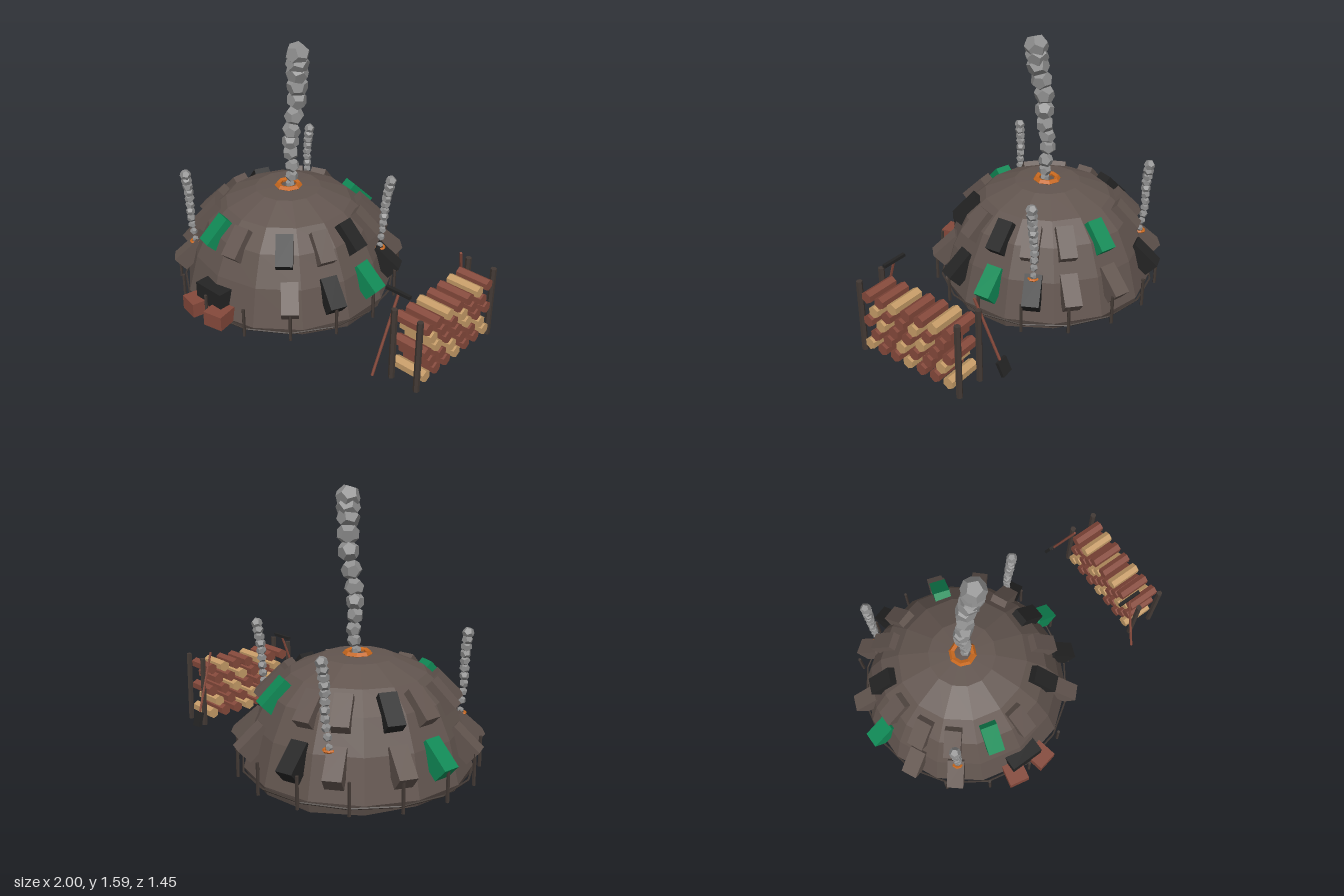
import * as THREE from 'three';

const mat = (name, color, extra = {}) => {
  const m = new THREE.MeshStandardMaterial({ color, flatShading: true, ...extra });
  m.name = name;
  return m;
};
const soil = mat('soil', 0x62554f);
const darkWood = mat('dark wood', 0x423934);
const black = mat('charred black', 0x242424);
const green = mat('turf green', 0x108a56);
const red = mat('red wood', 0x85493b);
const tan = mat('tan wood', 0xc59b67);
const grey = mat('smoke grey', 0x8e8e8e);
const orange = mat('ember orange', 0xc9691f);

const CX = -0.29, CZ = -0.03; // centre of the mound
const rad = THREE.MathUtils.degToRad;

function add(parent, name, geometry, material, x = 0, y = 0, z = 0) {
  const mesh = new THREE.Mesh(geometry, material);
  mesh.name = name;
  mesh.position.set(x, y, z);
  parent.add(mesh);
  return mesh;
}

// Point on the mound at an angle (degrees from the front, towards +x)
function around(deg, r, y) {
  return new THREE.Vector3(CX + Math.sin(rad(deg)) * r, y, CZ + Math.cos(rad(deg)) * r);
}

// Rod between two points
function rod(parent, name, a, b, r, material) {
  const mesh = add(parent, name, new THREE.CylinderGeometry(r, r, a.distanceTo(b), 6), material);
  mesh.position.lerpVectors(a, b, 0.5);
  mesh.quaternion.setFromUnitVectors(new THREE.Vector3(0, 1, 0), b.clone().sub(a).normalize());
  return mesh;
}

function buildMound(group) {
  const profile = [[0, 0.018], [0.63, 0.018], [0.65, 0.07], [0.59, 0.3], [0.505, 0.48],
    [0.385, 0.59], [0.2, 0.67], [0, 0.68]].map(p => new THREE.Vector2(...p));
  const geo = new THREE.LatheGeometry(profile, 14);
  const pos = geo.attributes.position;
  // uneven bottom rim
  for (let i = 0; i < pos.count; i++) {
    const x = pos.getX(i), z = pos.getZ(i), y = pos.getY(i);
    if (y < 0.05 && Math.hypot(x, z) > 0.1) pos.setY(i, y + 0.016 * Math.sin(3 * Math.atan2(x, z)));
  }
  add(group, 'mound', geo, soil, CX, 0, CZ);

  const rope = add(group, 'ropeRing', new THREE.TorusGeometry(0.66, 0.006, 5, 16), darkWood, CX, 0.06, CZ);
  rope.rotation.x = Math.PI / 2;
  for (let i = 0; i < 16; i++) {
    const p = around(i * 22.5, 0.69, 0.125);
    add(group, 'stake', new THREE.CylinderGeometry(0.01, 0.01, 0.18, 5), darkWood, p.x, p.y, p.z);
  }
}

// Tilted sods laid on the slope in two rings
function buildSods(group) {
  const upper = [[345, green], [8, soil], [42, black], [68, soil], [92, black], [114, soil], [137, soil],
    [162, green], [198, soil], [219, soil], [248, black], [270, soil], [295, soil], [318, soil]];
  const lower = [[45, soil], [68, black], [93, green], [117, black], [137, soil], [162, soil],
    [197, black], [218, soil], [249, soil], [270, green], [296, soil], [320, soil]];
  const ring = (list, name, r, y, thick, tilt) => {
    for (const [deg, material] of list) {
      const p = around(deg, r, y);
      const sod = add(group, name, new THREE.BoxGeometry(0.1, thick, 0.19), material, p.x, p.y, p.z);
      sod.rotation.set(rad(tilt), rad(deg), 0, 'YXZ');
    }
  };
  ring(upper, 'upperSod', 0.485, 0.495, 0.08, 45);
  ring(lower, 'lowerSod', 0.61, 0.25, 0.1, 42);
}

// Faceted puffs along a path, with an ember ring at the foot
function smoke(group, name, points, count, r0, r1, emberR) {
  const column = new THREE.Group();
  column.name = name;
  group.add(column);
  const curve = new THREE.CatmullRomCurve3(points.map(p => new THREE.Vector3(...p)));
  for (let i = 0; i < count; i++) {
    const t = i / (count - 1);
    const p = curve.getPoint(Math.pow(t, 0.92));
    const r = r0 + (r1 - r0) * Math.pow(t, 0.6);
    const puff = add(column, 'smokePuff', new THREE.DodecahedronGeometry(r), grey, p.x, p.y, p.z);
    puff.rotation.set(i * 1.3, i * 2.1, i * 0.7);
  }
  const [x, y, z] = points[0];
  const ember = add(column, 'emberRing', new THREE.TorusGeometry(emberR, emberR * 0.3, 5, 8), orange, x, y - 0.015, z);
  ember.rotation.x = Math.PI / 2;
  return ember;
}

function buildSmoke(group) {
  const main = smoke(group, 'mainSmoke', [[-0.27, 0.69, -0.025], [-0.255, 0.78, -0.035], [-0.275, 0.92, -0.04],
    [-0.25, 1.06, -0.03], [-0.22, 1.25, -0.045], [-0.19, 1.42, -0.02], [-0.18, 1.53, -0.015]], 12, 0.03, 0.072, 0.065);
  main.position.set(-0.285, 0.678, CZ);
  // side vents: angle, drift in x and z
  for (const [deg, dx, dz] of [[117, 0.05, -0.02], [214, 0.01, -0.04], [321, -0.01, 0.03]]) {
    const p = around(deg, 0.58, 0.345);
    smoke(group, 'sideSmoke', [[p.x, p.y, p.z], [p.x + dx * 0.2, 0.5, p.z + dz * 0.6],
      [p.x + dx * 0.5, 0.65, p.z + dz * 0.6], [p.x + dx, 0.79, p.z + dz]], 11, 0.02, 0.034, 0.028);
  }
}

// Fire door at the front
function buildDoor(group) {
  add(group, 'doorBlock', new THREE.BoxGeometry(0.21, 0.12, 0.1), black, CX, 0.19, 0.59);
  for (const s of [-1, 1]) {
    const brick = add(group, 'doorBrick', new THREE.BoxGeometry(0.125, 0.09, 0.13), red, CX + s * 0.095, 0.11, 0.645);
    brick.rotation.y = s * 0.2;
  }
}

function buildRack(group) {
  const rack = new THREE.Group();
  rack.name = 'logRack';
  group.add(rack);
  for (const x of [0.81, 0.975])
    for (const z of [-0.365, 0.31])
      add(rack, 'rackPost', new THREE.CylinderGeometry(0.018, 0.018, 0.44, 6), darkWood, x, 0.25, z);
  for (let row = 0; row < 5; row++) {
    const count = row % 2 ? 6 : 7;
    for (let i = 0; i < count; i++) {
      const z = -0.028 + ((count - 1) / 2 - i) * 0.0925;
      const log = add(rack, 'log', new THREE.CylinderGeometry(0.035, 0.035, 0.2, 6),
        (i + row) % 3 ? red : tan, 0.892, 0.098 + row * 0.0742, z);
      log.rotation.set(0, 0, Math.PI / 2);
      log.rotateY(Math.PI / 6);
    }
  }
}

function buildTools(group) {
  const v = (x, y, z) => new THREE.Vector3(x, y, z);
  rod(group, 'rakeHandle', v(0.75, 0.06, 0.4), v(0.78, 0.52, 0.24), 0.008, red);
  add(group, 'rakeHead', new THREE.BoxGeometry(0.155, 0.018, 0.02), black, 0.778, 0.525, 0.24);
  const handle = rod(group, 'shovelHandle', v(0.73, 0.1, -0.46), v(0.785, 0.51, -0.32), 0.008, red);
  const blade = add(group, 'shovelBlade', new THREE.BoxGeometry(0.07, 0.09, 0.02), black, 0.728, 0.11, -0.46);
  blade.quaternion.copy(handle.quaternion);
}

export function createModel() {
  const group = new THREE.Group();
  group.name = 'charcoalMound';
  buildMound(group);
  buildSods(group);
  buildSmoke(group);
  buildDoor(group);
  buildRack(group);
  buildTools(group);
  return group;
}
